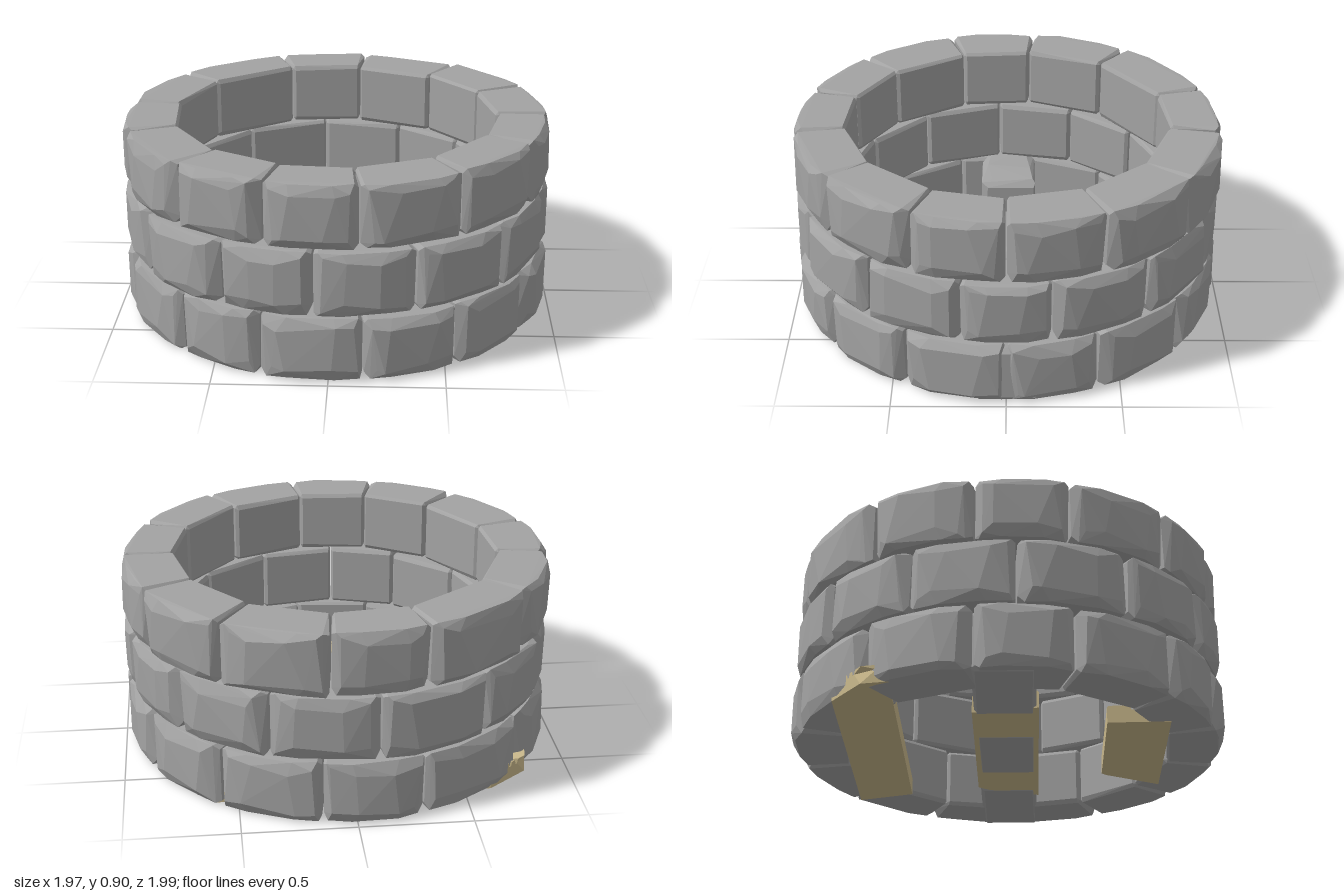
import * as THREE from 'three';
import { ConvexGeometry } from 'three/addons/geometries/ConvexGeometry.js';

const stoneMat = new THREE.MeshStandardMaterial({ color: 0xa3a3a3 });
stoneMat.name = 'grey stone';
const woodMat = new THREE.MeshStandardMaterial({ color: 0xcab98c });
woodMat.name = 'pale wood';

// small seeded random
let seed = 11;
const rand = (a, b) => {
  seed = (seed * 16807) % 2147483647;
  return a + (b - a) * (seed / 2147483647);
};

// Chipped block. place(s, d, h) maps length, depth and height, each -1..1 (d = 1 is the outer face).
function stone(name, place) {
  const pts = [];
  for (const s of [-1, 1]) for (const h of [-1, 1]) {
    // outer corners, cut back irregularly
    const cs = rand(0.1, 0.26), ch = rand(0.1, h < 0 ? 0.45 : 0.28), cd = rand(0.16, 0.36);
    pts.push(place(s * (1 - cs), 0.86 + rand(0, 0.08), h * (1 - ch)));
    pts.push(place(s, 1 - cd - 0.12, h * (1 - ch * 0.6)));
    pts.push(place(s * (1 - cs * 0.5), 1 - cd, h));
    // inner corners, lightly chamfered
    pts.push(place(s * 0.94, -1, h * rand(0.84, 0.92)));
    pts.push(place(s, -0.88, h * 0.9));
    pts.push(place(s * 0.95, -0.9, h));
  }
  // gentle bulge of the outer face
  for (const s of [-0.45, 0.45]) for (const h of [-1, 1]) {
    pts.push(place(s + rand(-0.2, 0.2), rand(0.96, 1.02), h * rand(0.55, 0.8)));
    pts.push(place(s, rand(0.74, 0.86), h * rand(0.97, 1)));
  }
  const mesh = new THREE.Mesh(new ConvexGeometry(pts), stoneMat);
  mesh.name = name;
  return mesh;
}

// One ring of stones between the given joint angles (degrees, 0 = front, 90 = +x)
function course(name, y, joints) {
  const group = new THREE.Group();
  group.name = name;
  joints.forEach((start, i) => {
    const end = i + 1 < joints.length ? joints[i + 1] : joints[0] + 360;
    const mid = THREE.MathUtils.degToRad((start + end) / 2);
    const half = THREE.MathUtils.degToRad((end - start) / 2) - 0.004;
    const top = y + 0.3 - rand(0, 0.012), bottom = y + rand(0.003, 0.01);
    const outer = rand(0.98, 0.995), inner = rand(0.73, 0.75);
    group.add(stone('ringStone', (s, d, h) => {
      const a = mid + s * half, r = THREE.MathUtils.mapLinear(d, -1, 1, inner, outer);
      return new THREE.Vector3(Math.sin(a) * r, THREE.MathUtils.mapLinear(h, -1, 1, bottom, top), Math.cos(a) * r);
    }));
  });
  return group;
}

// Loose block whose outer face looks up
function block(name, x0, x1) {
  const cx = (x0 + x1) / 2, hx = (x1 - x0) / 2;
  return stone(name, (s, d, h) => new THREE.Vector3(cx + s * hx, 0.155 + d * 0.153, -0.005 - h * 0.135));
}

// Linear lookup in [[z, x], ...] sorted by z
function lookup(table, z) {
  for (let i = 1; i < table.length; i++) {
    const [z0, x0] = table[i - 1], [z1, x1] = table[i];
    if (z <= z1 + 1e-6) return x0 + (x1 - x0) * (z - z0) / (z1 - z0);
  }
  return table[table.length - 1][1];
}

// Plank: grooved cross-section run along x, ends shaped by left and right outlines
function plank(name, z0, z1, grooves, left, right) {
  const low = 0.005, high = 0.085;
  const breaks = [...left, ...right].map(p => p[0]).filter(z => z > z0 + 0.001 && z < z1 - 0.001);
  const shape = new THREE.Shape();
  shape.moveTo(z0, low);
  shape.lineTo(z0, high - 0.006);
  shape.lineTo(z0 + 0.006, high);
  const marks = [...breaks.map(z => ({ z })), ...grooves.map(z => ({ z, cut: true }))].sort((a, b) => a.z - b.z);
  for (const { z, cut } of marks) {
    if (cut) {
      shape.lineTo(z - 0.007, high);
      shape.lineTo(z - 0.003, high - 0.02);
      shape.lineTo(z + 0.003, high - 0.02);
      shape.lineTo(z + 0.007, high);
    } else shape.lineTo(z, high);
  }
  shape.lineTo(z1 - 0.006, high);
  shape.lineTo(z1, high - 0.006);
  shape.lineTo(z1, low);
  for (const z of [...breaks].sort((a, b) => b - a)) shape.lineTo(z, low);
  const geo = new THREE.ExtrudeGeometry(shape, { depth: 1, bevelEnabled: false });
  const p = geo.attributes.position;
  // shape x becomes z; the run becomes x (a rotation, so winding is kept by reversing the run)
  for (let i = 0; i < p.count; i++) {
    const z = p.getX(i), t = 1 - p.getZ(i);
    p.setXYZ(i, THREE.MathUtils.lerp(lookup(left, z), lookup(right, z), t), p.getY(i), z);
  }
  geo.computeVertexNormals();
  const mesh = new THREE.Mesh(geo, woodMat);
  mesh.name = name;
  return mesh;
}

export function createModel() {
  seed = 11;
  const model = new THREE.Group();
  model.name = 'stoneWell';

  // three staggered courses
  model.add(
    course('bottomCourse', 0, [-43, -18, 9, 35, 62, 90, 115, 143, 171, 198, 232, 262, 288]),
    course('middleCourse', 0.3, [-57, -29, -4, 23, 51, 78, 102, 130, 157, 186, 217, 245, 273]),
    course('topCourse', 0.6, [-43, -17, 8, 36, 65, 90, 116, 144, 173, 199, 233, 262, 287])
  );

  // row of stones across the floor
  model.add(block('leftFloorStone', 0.46, 0.96), block('centreFloorStone', -0.22, 0.235), block('rightFloorStone', -0.93, -0.47));

  // floor planks
  model.add(
    plank('backPlank', -0.74, -0.48, [-0.66, -0.635, -0.53],
      [[-0.74, -0.62], [-0.6, -0.8], [-0.48, -0.82]], [[-0.74, 0.6], [-0.48, 0.52]]),
    plank('middlePlank', -0.15, 0.14, [-0.06, -0.035, 0.075],
      [[-0.15, -0.49], [0.14, -0.54]], [[-0.15, 0.43], [-0.1, 0.465], [0.14, 0.54]]),
    plank('frontPlank', 0.44, 0.72, [0.55, 0.575, 0.68],
      [[0.44, -0.37], [0.72, -0.38]], [[0.44, 0.25], [0.46, 0.27], [0.72, 0.4]])
  );
  return model;
}
